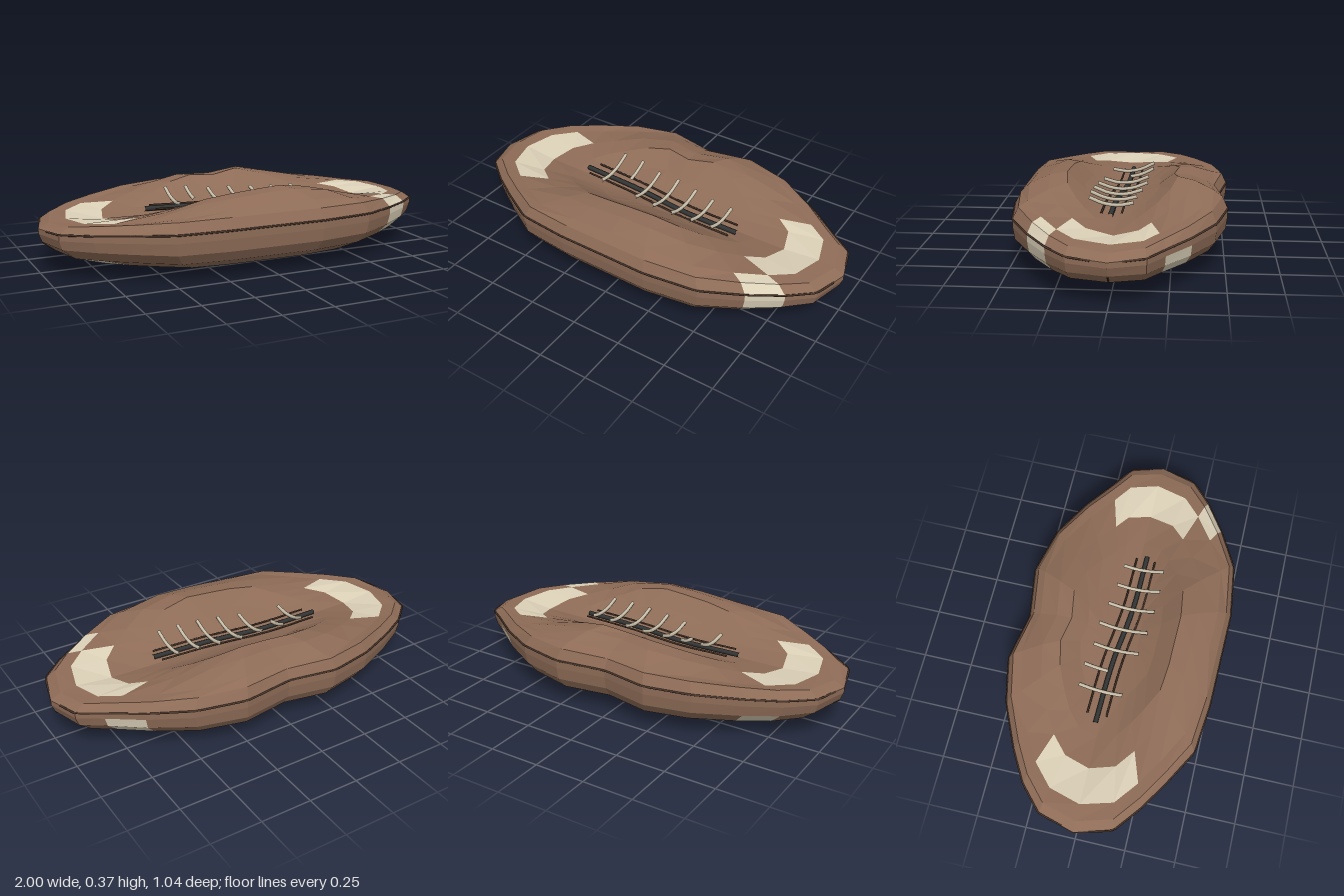
import * as THREE from 'three';

const leather = new THREE.MeshStandardMaterial({ color: 0x8e6c57 });
const cream = new THREE.MeshStandardMaterial({ color: 0xdcd1b8 });
const seamBrown = new THREE.MeshStandardMaterial({ color: 0x4a362b });
const slitBlack = new THREE.MeshStandardMaterial({ color: 0x343635 });
const laceCream = new THREE.MeshStandardMaterial({ color: 0xcac0aa });

// Plan outline of the flattened ball [x, z], from the +x tip round by +z
const OUTLINE = [
  [1, 0], [0.95, 0.18], [0.84, 0.28], [0.69, 0.38], [0.5, 0.48], [0.23, 0.515],
  [0, 0.51], [-0.25, 0.505], [-0.5, 0.478], [-0.68, 0.375], [-0.82, 0.285], [-0.95, 0.18],
  [-1, 0], [-0.95, -0.18], [-0.83, -0.29], [-0.68, -0.375], [-0.467, -0.47], [-0.24, -0.52],
  [0, -0.475], [0.255, -0.513], [0.495, -0.455], [0.69, -0.345], [0.84, -0.235], [0.95, -0.16],
];
const N = OUTLINE.length;

// Rings from the sunken top centre, over the rim, to the underside:
// [outline scale, height at the long sides, height at the tips]
const RINGS = [
  [0, 0.23, 0.23], [0.18, 0.255, 0.23], [0.36, 0.31, 0.23], [0.53, 0.375, 0.23],
  [0.69, 0.37, 0.232], [0.87, 0.338, 0.25], [0.95, 0.295, 0.24], [1, 0.24, 0.215],
  [1, 0.2, 0.19], [0.985, 0.14, 0.15], [0.92, 0.09, 0.1], [0.76, 0.045, 0.05],
  [0.53, 0.008, 0.01], [0, 0.004, 0.004],
];

function bodyPoint(k, j) {
  const [s, side, tip] = RINGS[k];
  const [x, z] = OUTLINE[((j % N) + N) % N];
  const t = Math.pow(Math.min(1, Math.abs(z) / 0.51), 1.5);
  let y = tip + (side - tip) * t;
  // The two top ridges fall away from a peak, the back one a little lower
  if (k > 1 && k < 6) y -= t * (0.07 * Math.abs(x * s - 0.12) + (z < 0 ? 0.01 : 0));
  return new THREE.Vector3(x * s, y, z * s);
}

// Painted end bands: which cells of the body are cream
function isCream(k, j) {
  const right = j < 6 || j >= 18;
  const c = right ? (j >= 18 ? j - N : j) : j - 12;
  if (k === 4) return c >= -2 && c < 2;
  if (k === 10) return c >= (right ? -3 : -2) && c < 3;
  if (right && c === 2) return k >= 5 && k <= 9;
  if (right && c === -3) return k === 8 || k === 9;
  return !right && c === 2 && k === 9;
}

function bodyMesh(name, material, wanted) {
  const pos = [];
  const tri = (...pts) => pts.forEach((p) => pos.push(p.x, p.y, p.z));
  for (let k = 0; k < RINGS.length - 1; k++) {
    for (let j = 0; j < N; j++) {
      if (isCream(k, j) !== wanted) continue;
      const a = bodyPoint(k, j), b = bodyPoint(k, j + 1);
      const c = bodyPoint(k + 1, j + 1), d = bodyPoint(k + 1, j);
      if (k > 0) tri(a, b, c);
      if (k < RINGS.length - 2) tri(a, c, d);
    }
  }
  const geo = new THREE.BufferGeometry();
  geo.setAttribute('position', new THREE.Float32BufferAttribute(pos, 3));
  geo.computeVertexNormals();
  const mesh = new THREE.Mesh(geo, material);
  mesh.name = name;
  return mesh;
}

function tube(name, pts, radius, material, segments = 12, tension = 0.5) {
  const curve = new THREE.CatmullRomCurve3(pts, false, 'catmullrom', tension);
  const mesh = new THREE.Mesh(new THREE.TubeGeometry(curve, segments, radius, 6), material);
  mesh.name = name;
  return mesh;
}

export function createModel() {
  const group = new THREE.Group();
  group.name = 'deflatedBall';
  group.add(bodyMesh('leatherBody', leather, false), bodyMesh('endBands', cream, true));

  // Rim seams along the front and back, open at the tips
  for (const [name, start] of [['frontSeam', 0], ['backSeam', 12]]) {
    const pts = [];
    for (let i = 0; i <= 12; i++) {
      const p = bodyPoint(7, start + i);
      if (i === 0 || i === 12) {
        p.x *= 0.98;
        p.z = start ? -0.06 : 0.07;
      }
      pts.push(p);
    }
    group.add(tube(name, pts, 0.005, seamBrown, 72, 0.05));
  }

  // Seam along the underside from tip to tip
  const under = [];
  for (let k = 9; k < RINGS.length; k++) under.push(bodyPoint(k, 0));
  for (let k = RINGS.length - 2; k >= 9; k--) under.push(bodyPoint(k, 12));
  group.add(tube('undersideSeam', under, 0.004, seamBrown, 36, 0.05));

  // Dark slit and the stitched lines beside it
  const line = (name, z0, y, r, mat, x0, x1) => group.add(tube(name, [
    new THREE.Vector3(x0, y + 0.008, z0 - 0.025), new THREE.Vector3(-0.15, y, z0 - 0.015),
    new THREE.Vector3(0.15, y, z0 + 0.02), new THREE.Vector3(x1, y + 0.004, z0 + 0.028),
  ], r, mat, 16));
  line('slit', 0.005, 0.245, 0.013, slitBlack, -0.47, 0.45);
  line('backStitchLine', -0.045, 0.249, 0.005, seamBrown, -0.43, 0.43);
  line('frontStitchLine', 0.05, 0.249, 0.005, seamBrown, -0.43, 0.43);

  // Cross laces [x, back z, front z], sagging in the middle
  const laces = [
    [-0.315, -0.14, 0.08], [-0.205, -0.14, -0.02], [-0.09, -0.12, 0.11], [0.025, -0.12, 0.13],
    [0.14, -0.1, 0.14], [0.25, -0.08, 0.145], [0.36, -0.07, 0.14],
  ];
  laces.forEach(([x, z0, z1], i) => {
    const pts = [0, 0.33, 0.67, 1].map((t) => {
      const z = z0 + (z1 - z0) * t;
      return new THREE.Vector3(x, 0.266 + 0.03 * Math.abs(x) + 2.1 * (z - 0.01) ** 2, z);
    });
    group.add(tube(`lace${i + 1}`, pts, 0.0095, laceCream, 8));
  });
  return group;
}
